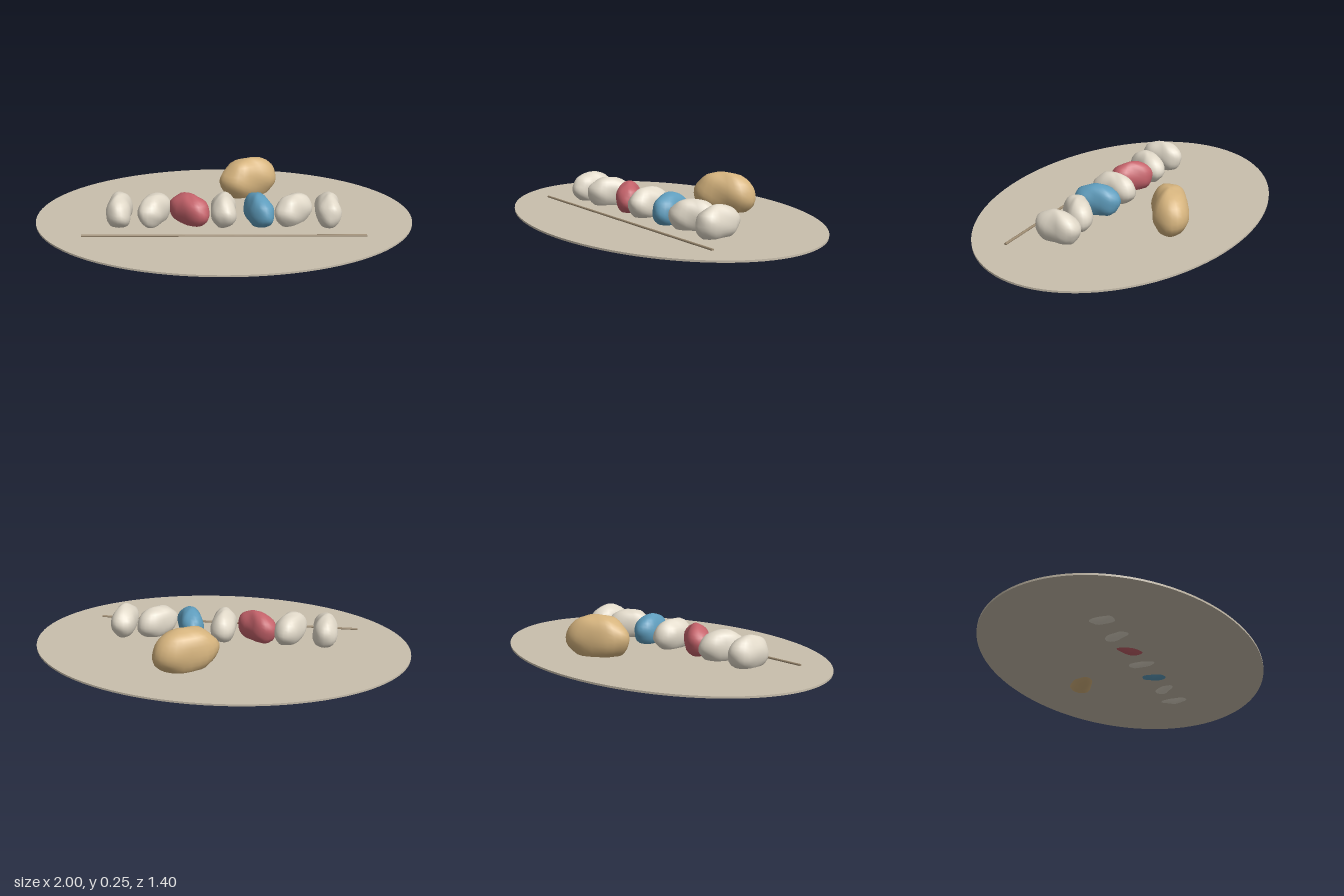
import * as THREE from 'three';
import { mergeVertices } from 'three/addons/utils/BufferGeometryUtils.js';

const material = (name, color) => {
  const m = new THREE.MeshStandardMaterial({ color });
  m.name = name;
  return m;
};

// Kidney-shaped pebble: long along z, notched on +x, with shallow lumps
function beanGeometry(seed) {
  const sphere = new THREE.SphereGeometry(1, 24, 16);
  sphere.deleteAttribute('uv');
  sphere.deleteAttribute('normal');
  const g = mergeVertices(sphere, 1e-4);
  const p = g.attributes.position;
  for (let i = 0; i < p.count; i++) {
    const x = p.getX(i), y = p.getY(i), z = p.getZ(i);
    const waist = Math.exp(-((z / 0.42) ** 2));
    const pinch = 1 - (x > 0 ? 0.25 : 0.14) * waist;
    const lump = 1 + 0.022 * Math.sin(5 * x + 3 * y + seed)
      + 0.018 * Math.sin(6 * y - 5 * z + 2 * seed)
      + 0.012 * Math.sin(9 * z + 7 * x + 3 * seed);
    p.setXYZ(i, x * 0.078 * pinch * lump, y * 0.09 * lump, z * 0.124 * lump);
  }
  g.computeVertexNormals();
  return g;
}

export function createModel() {
  const group = new THREE.Group();
  const cream = material('cream', 0xe0d8c8);
  const red = material('dusty red', 0xc4626a);
  const blue = material('soft blue', 0x5f9dbd);
  const tan = material('tan', 0xd6b47e);
  const sand = material('sand', 0xc9bfad);
  const wood = material('brown', 0x9c8a70);

  const add = (name, geometry, mat, x, y, z) => {
    const mesh = new THREE.Mesh(geometry, mat);
    mesh.name = name;
    mesh.position.set(x, y, z);
    group.add(mesh);
    return mesh;
  };

  // Thin oval ground plate
  add('groundPlate', new THREE.CylinderGeometry(1, 1, 0.01, 96), sand, 0, 0.035, 0)
    .scale.z = 0.698;

  // Row of seven beans: material and turn in degrees
  const row = [[cream, 0], [cream, -24], [red, 50], [cream, 0], [blue, 18], [cream, -44], [cream, 0]];
  row.forEach(([mat, turn], i) => {
    add(`bean${i + 1}`, beanGeometry(i * 1.7 + 0.4), mat, (i - 3) * 0.182, 0.105, 0.085)
      .rotation.y = THREE.MathUtils.degToRad(turn);
  });

  // Large bean behind the row
  const big = add('largeBean', beanGeometry(2.6), tan, 0.14, 0.126, -0.32);
  big.scale.setScalar(1.4);
  big.rotation.y = THREE.MathUtils.degToRad(-59);

  // Slim stick lying in front
  add('stick', new THREE.CylinderGeometry(0.007, 0.007, 1.45, 8), wood, 0, 0.043, 0.271)
    .rotation.z = Math.PI / 2;

  return group;
}
